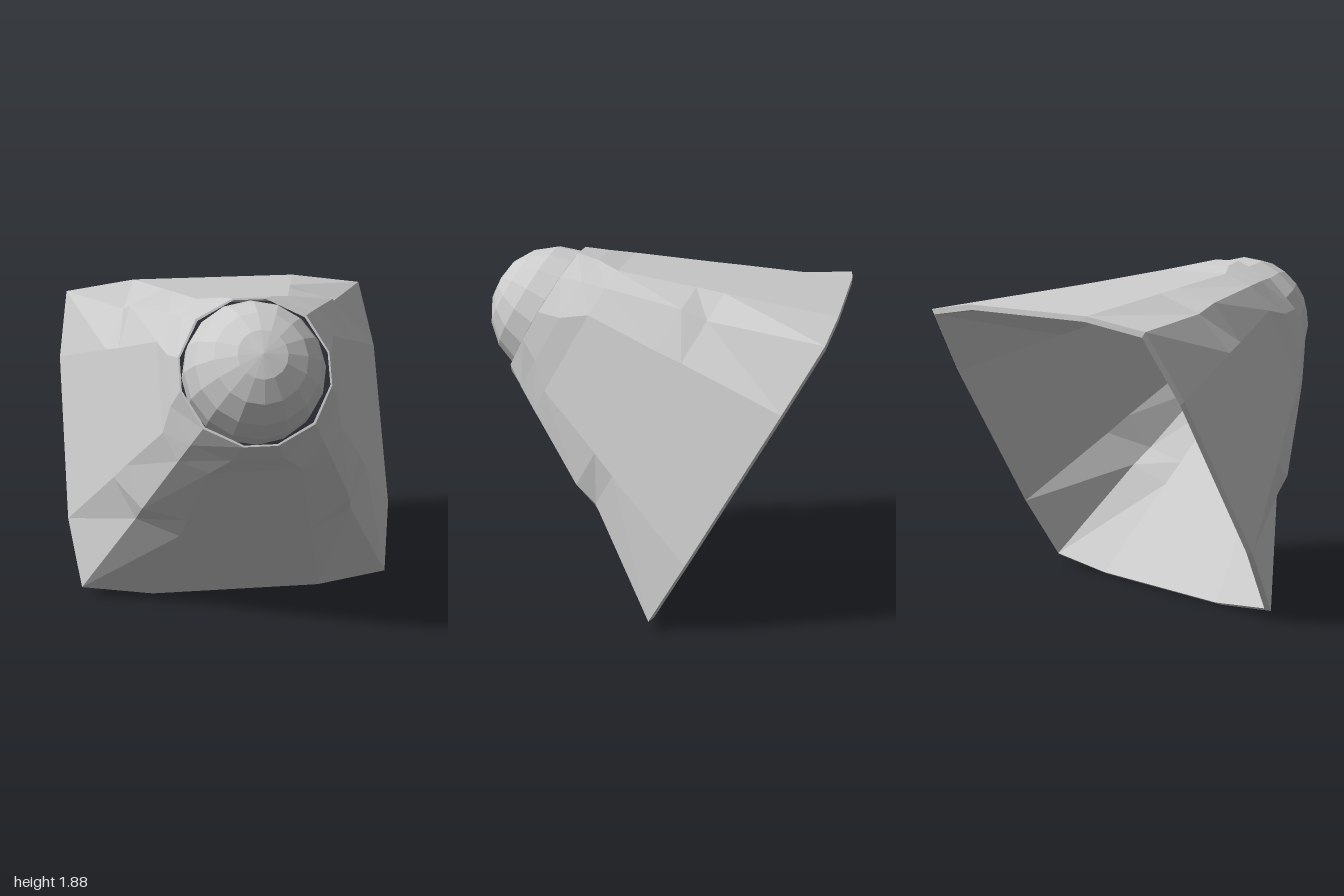
import * as THREE from 'three';

const grey = () => new THREE.MeshStandardMaterial({ color: 0xcccccc, flatShading: true });

// Rounded-square section: each side has a flat of half-width w at distance f, and a corner at (c, c)
function section([t, f, w, c]) {
  const pts = [];
  for (let k = 0; k < 4; k++) {
    for (const p of [[f, -w], [f, w], [c, c]]) {
      let [x, y] = p;
      for (let r = 0; r < k; r++) [x, y] = [-y, x];
      pts.push([x, y, t]);
    }
  }
  return pts;
}

// Skin a closed sequence of rings (outside, throat edge, inside, rim edge)
function loft(rings) {
  const n = rings[0].length;
  const index = [];
  rings.forEach((_, j) => {
    const a = j * n, b = ((j + 1) % rings.length) * n;
    for (let i = 0; i < n; i++) {
      const k = (i + 1) % n;
      index.push(a + i, a + k, b + k, a + i, b + k, b + i);
    }
  });
  const geo = new THREE.BufferGeometry();
  geo.setAttribute('position', new THREE.Float32BufferAttribute(rings.flat(2), 3));
  geo.setIndex(index);
  geo.computeVertexNormals();
  return geo;
}

export function createModel() {
  const model = new THREE.Group();
  model.name = 'hornWithBall';

  // Everything is built along the horn's axis, then tilted 30 degrees upward
  const body = new THREE.Group();
  body.name = 'tiltedBody';
  body.position.set(0, 0.83, -0.515);
  body.rotation.x = -Math.PI / 6;
  model.add(body);

  // Flared horn wall: [axis position, flat distance, flat half-width, corner]
  const outer = [
    [0, 0.96, 0.49, 0.90],
    [0.57, 0.718, 0.37, 0.606],
    [0.715, 0.656, 0.335, 0.58],
    [1.13, 0.48, 0.25, 0.407],
    [1.26, 0.443, 0.14, 0.352],
    [1.38, 0.40, 0.09, 0.294],
  ];
  const inner = outer.map(([t, f, w, c], i) => {
    const d = i === 5 ? 0.01 : 0.025;
    return [i === 0 ? -0.015 : t, f - d, w * 0.97, c - d];
  }).reverse();
  const horn = new THREE.Mesh(loft([...outer, ...inner].map(section)), grey());
  horn.name = 'hornShell';
  body.add(horn);

  // Faceted ball seated in the throat, pole along the axis
  const ballGeo = new THREE.SphereGeometry(0.38, 16, 9);
  ballGeo.rotateX(Math.PI / 2);
  const ball = new THREE.Mesh(ballGeo, grey());
  ball.name = 'ball';
  ball.position.set(0, 0.01, 1.32);
  body.add(ball);

  return model;
}
